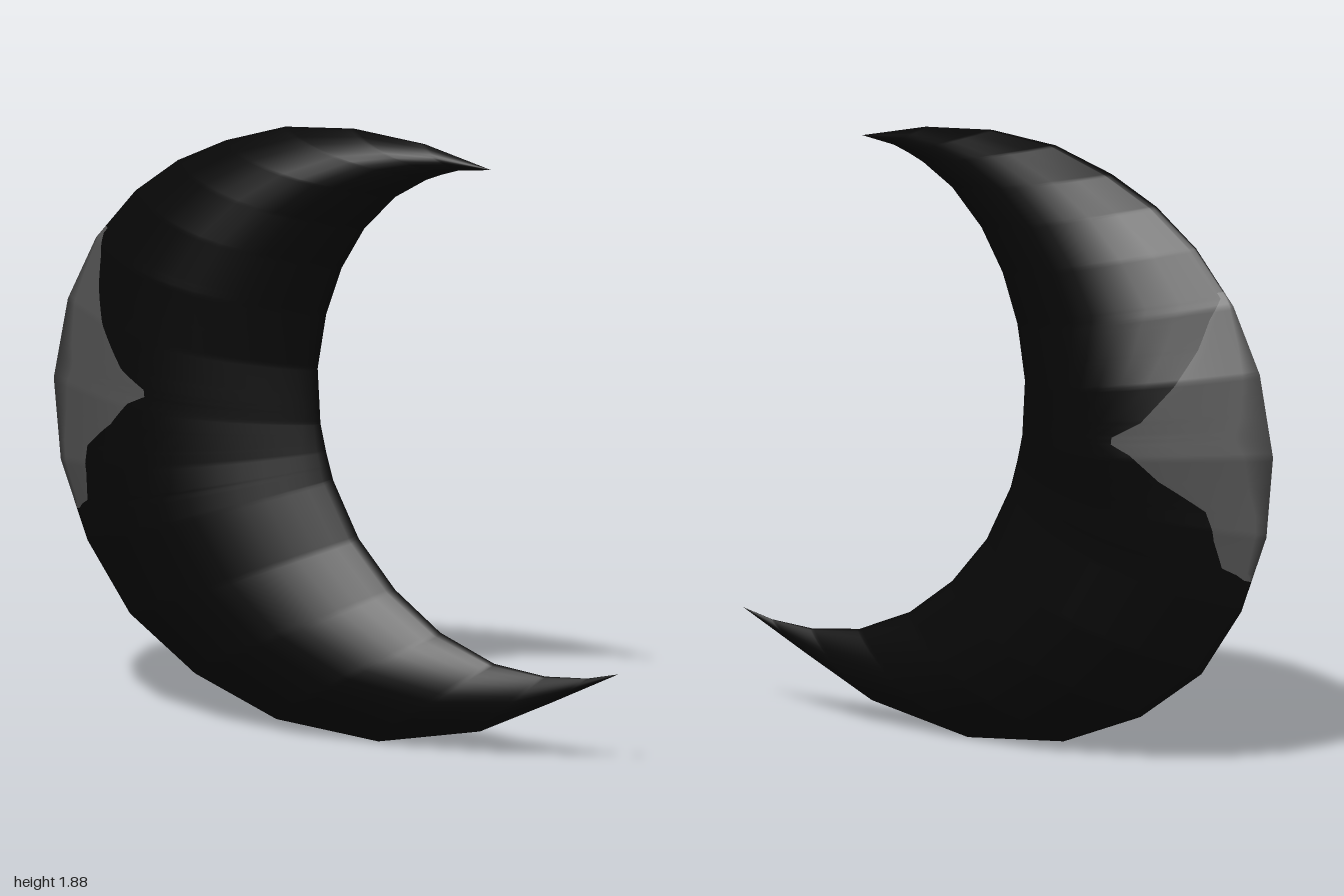
import * as THREE from 'three';

// Matching stations along the crescent, bottom tip to top tip
const OUTER = [[1, .3], [.76, .185], [.51, .07], [.15, 0], [-.21, .03], [-.5, .14], [-.73, .3], [-.88, .51],
  [-.975, .75], [-1, 1], [-.95, 1.25], [-.85, 1.45], [-.71, 1.61], [-.56, 1.72], [-.39, 1.8], [-.18, 1.865],
  [.06, 1.885], [.31, 1.865], [.55, 1.81]];
const INNER = [[1, .3], [.89, .275], [.74, .265], [.56, .285], [.37, .36], [.21, .475], [.08, .62], [-.01, .79],
  [-.035, .875], [-.055, .96], [-.065, 1.13], [-.035, 1.3], [.02, 1.45], [.1, 1.58], [.21, 1.69], [.32, 1.755],
  [.375, 1.777], [.43, 1.795], [.55, 1.81]];
// Depth of the front and back swell at each station, measured from the rim plane
const RIM_Z = .008;
const FRONT = [0, .012, .035, .08, .14, .17, .18, .197, .197, .202, .207, .212, .195, .168, .138, .095, .06, .027, 0];
const BACK = [0, .012, .035, .073, .128, .163, .178, .173, .198, .228, .228, .193, .173, .148, .118, .088, .06, .027, 0];
// Grey patch: [station, reach across the crescent from its outer edge]
const PATCH = [[7.4, 0], [7.5, .09], [7.85, .135], [8.25, .17], [8.65, .31], [9.05, .4], [9.2, .465], [9.3, .46],
  [9.5, .355], [9.95, .24], [10.45, .14], [10.85, .08], [11.25, 0]];

const lerp = THREE.MathUtils.lerp;

function sample(list, u) {
  const i = Math.min(Math.floor(u), list.length - 2);
  return lerp(list[i], list[i + 1], u - i);
}

function edgePoint(list, u) {
  return [0, 1].map(k => sample(list.map(p => p[k]), u));
}

function patchReach(u) {
  for (let i = 0; i < PATCH.length - 1; i++) {
    const [a, wa] = PATCH[i], [b, wb] = PATCH[i + 1];
    if (u >= a && u <= b) return Math.max(.02, lerp(wa, wb, (u - a) / (b - a)));
  }
  return .02;
}

// Swell across the crescent: sharp outer edge in the middle, blunter towards the horns
function profile(w, u) {
  const power = lerp(1.1, .72, Math.min(1, Math.abs(u - 9) / 5));
  return w < .5
    ? Math.pow(Math.sin(Math.PI * w), power)
    : Math.pow(Math.max(0, Math.sin(Math.PI * w)), .8);
}

export function createModel() {
  const black = new THREE.MeshStandardMaterial({ color: 0x070707 });
  black.name = 'black';
  const grey = new THREE.MeshStandardMaterial({ color: 0x525252 });
  grey.name = 'grey';

  const ROWS = 360, STEP = 18 / ROWS;
  const K = 5, M = 17, RING = 2 * M; // patch columns, columns per side, points per ring
  const positions = [], blackFaces = [], greyFaces = [];

  // Closed cross-section rings: across the front, then back along the rear
  for (let r = 0; r <= ROWS; r++) {
    const u = r * STEP, reach = patchReach(u);
    const front = sample(FRONT, u), back = sample(BACK, u);
    const o = edgePoint(OUTER, u), n = edgePoint(INNER, u);
    for (let j = 0; j < RING; j++) {
      const c = j <= M ? j : RING - j;
      const w = c <= K ? reach * c / K : lerp(reach, 1, 1 - Math.pow(1 - (c - K) / (M - K), 1.5));
      const swell = c === 0 || c === M ? 0 : profile(w, u) * (j < M ? front : -back);
      positions.push(lerp(o[0], n[0], w), lerp(o[1], n[1], w), RIM_Z + swell);
    }
  }

  // Skin between rings, with the patch columns in grey
  for (let r = 0; r < ROWS; r++) {
    const mid = (r + .5) * STEP;
    const inPatch = mid > 7.4 && mid < 11.25;
    for (let j = 0; j < RING; j++) {
      const k = (j + 1) % RING;
      const a = r * RING + j, b = r * RING + k, c = b + RING, d = a + RING;
      const faces = inPatch && (j < K || j >= RING - K) ? greyFaces : blackFaces;
      faces.push(a, b, c, a, c, d);
    }
  }

  const geometry = new THREE.BufferGeometry();
  geometry.setAttribute('position', new THREE.Float32BufferAttribute(positions, 3));
  geometry.setIndex([...blackFaces, ...greyFaces]);
  geometry.addGroup(0, blackFaces.length, 0);
  geometry.addGroup(blackFaces.length, greyFaces.length, 1);
  geometry.computeVertexNormals();

  const crescent = new THREE.Mesh(geometry, [black, grey]);
  crescent.name = 'crescent';
  const model = new THREE.Group();
  model.name = 'crescentModel';
  model.add(crescent);
  return model;
}
